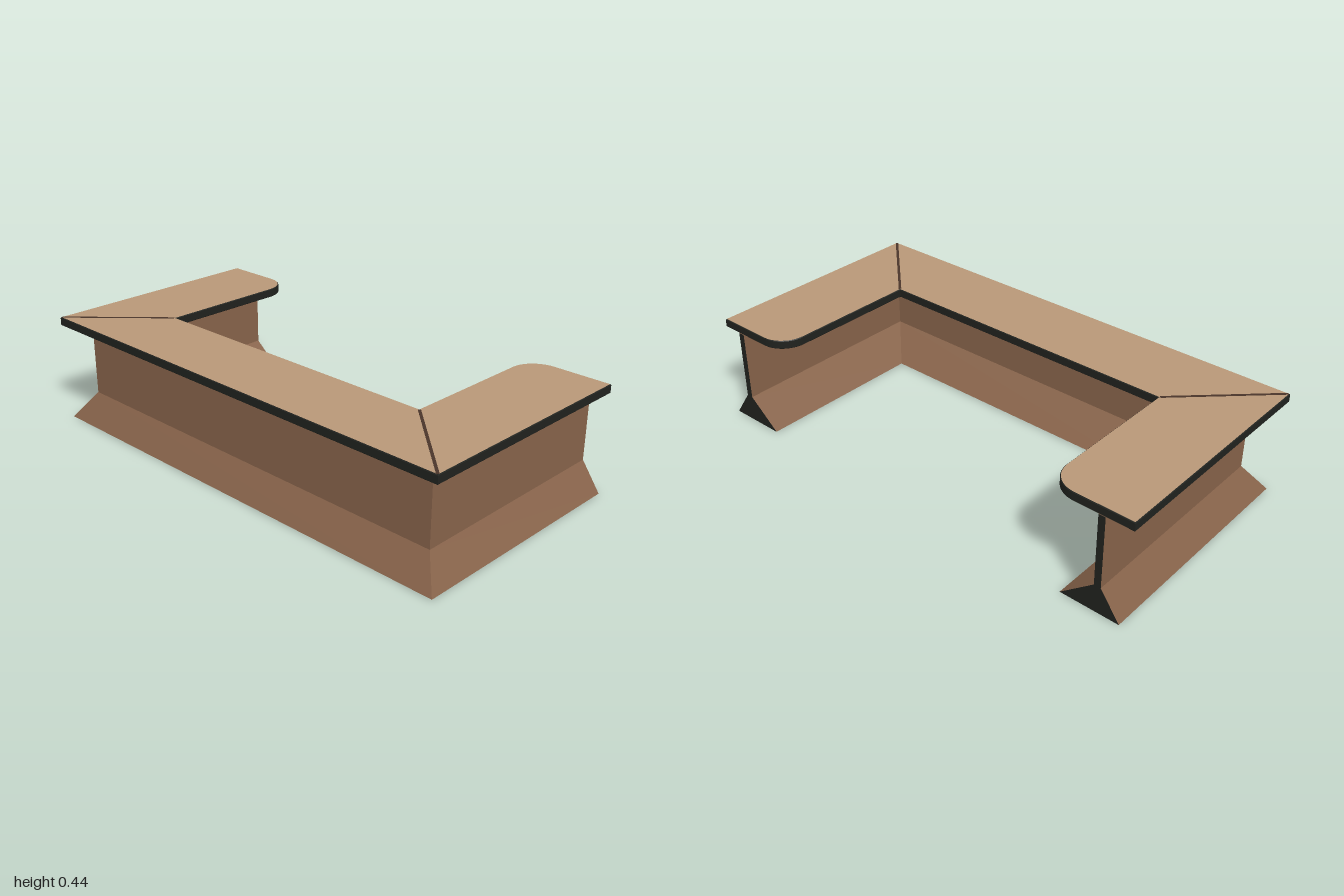
import * as THREE from 'three';
import { toCreasedNormals } from 'three/addons/utils/BufferGeometryUtils.js';

const mat = (color) => new THREE.MeshStandardMaterial({ color });

// Plinth and wall section: distance in from the outer edge, height
const PROFILE = [[0, 0], [0.08, 0.113], [0.08, 0.407], [0.108, 0.407], [0.108, 0.113], [0.245, 0]];
const BACK = -0.49, END = 0.487, FRONT = 1, REAR = -0.97;

// Sweep the section round the U with mitred corners
function sweptWall() {
  const stations = [
    (d) => [END, FRONT - d],
    (d) => [BACK + d, FRONT - d],
    (d) => [BACK + d, REAR + d],
    (d) => [END, REAR + d],
  ];
  const point = (s, p) => {
    const [d, y] = PROFILE[p % PROFILE.length];
    const [x, z] = stations[s](d);
    return [x, y, z];
  };
  const pos = [];
  for (let s = 0; s < 3; s++) {
    for (let p = 0; p < PROFILE.length; p++) {
      const a = point(s, p), b = point(s, p + 1), c = point(s + 1, p + 1), d = point(s + 1, p);
      pos.push(...a, ...b, ...c, ...a, ...c, ...d);
    }
  }
  const g = new THREE.BufferGeometry();
  g.setAttribute('position', new THREE.Float32BufferAttribute(pos, 3));
  g.computeVertexNormals();
  return g;
}

// U-shaped top with rounded inner tips
function counterTop() {
  const bevel = 0.003, r = 0.11, x0 = -0.49, x1 = 0.487, xi = -0.16, zi = 0.652;
  const s = new THREE.Shape();
  s.moveTo(x0, -1);
  s.lineTo(x1, -1);
  s.lineTo(x1, -zi - r);
  s.absarc(x1 - r, -zi - r, r, 0, Math.PI / 2, false);
  s.lineTo(xi, -zi);
  s.lineTo(xi, zi);
  s.lineTo(x1 - r, zi);
  s.absarc(x1 - r, zi + r, r, -Math.PI / 2, 0, false);
  s.lineTo(x1, 1);
  s.lineTo(x0, 1);
  s.closePath();
  const g = new THREE.ExtrudeGeometry(s, {
    depth: 0.036 - 2 * bevel, curveSegments: 12,
    bevelSize: bevel, bevelThickness: bevel, bevelOffset: -bevel, bevelSegments: 1,
  });
  g.rotateX(-Math.PI / 2);
  g.translate(0, 0.406 + bevel, 0);
  return toCreasedNormals(g, 0.5);
}

export function createModel() {
  const model = new THREE.Group();
  model.name = 'counter';
  const brown = mat(0x87634a), tan = mat(0xb89878), black = mat(0x20221e), seamBrown = mat(0x4a352a);
  const add = (name, geometry, material) => {
    const mesh = new THREE.Mesh(geometry, material);
    mesh.name = name;
    model.add(mesh);
    return mesh;
  };

  add('wallAndPlinth', sweptWall(), brown);
  add('counterTop', counterTop(), [tan, black]);

  for (const side of [1, -1]) {
    // Dark cap on the end of each arm
    const section = new THREE.Shape(PROFILE.map(([d, y]) => new THREE.Vector2(side * d, y)));
    const cap = add(side > 0 ? 'frontEndCap' : 'rearEndCap', new THREE.ShapeGeometry(section), black);
    cap.rotation.y = Math.PI / 2;
    cap.position.set(END, 0, side > 0 ? FRONT : REAR);

    // Mitre seam across each corner of the top
    const dx = 0.33, dz = 0.348;
    const seam = add(side > 0 ? 'frontSeam' : 'rearSeam',
      new THREE.BoxGeometry(Math.hypot(dx, dz) - 0.014, 0.004, 0.011), seamBrown);
    seam.position.set(-0.325, 0.441, side * 0.826);
    seam.rotation.y = side * Math.atan2(dz, dx);
  }
  return model;
}
